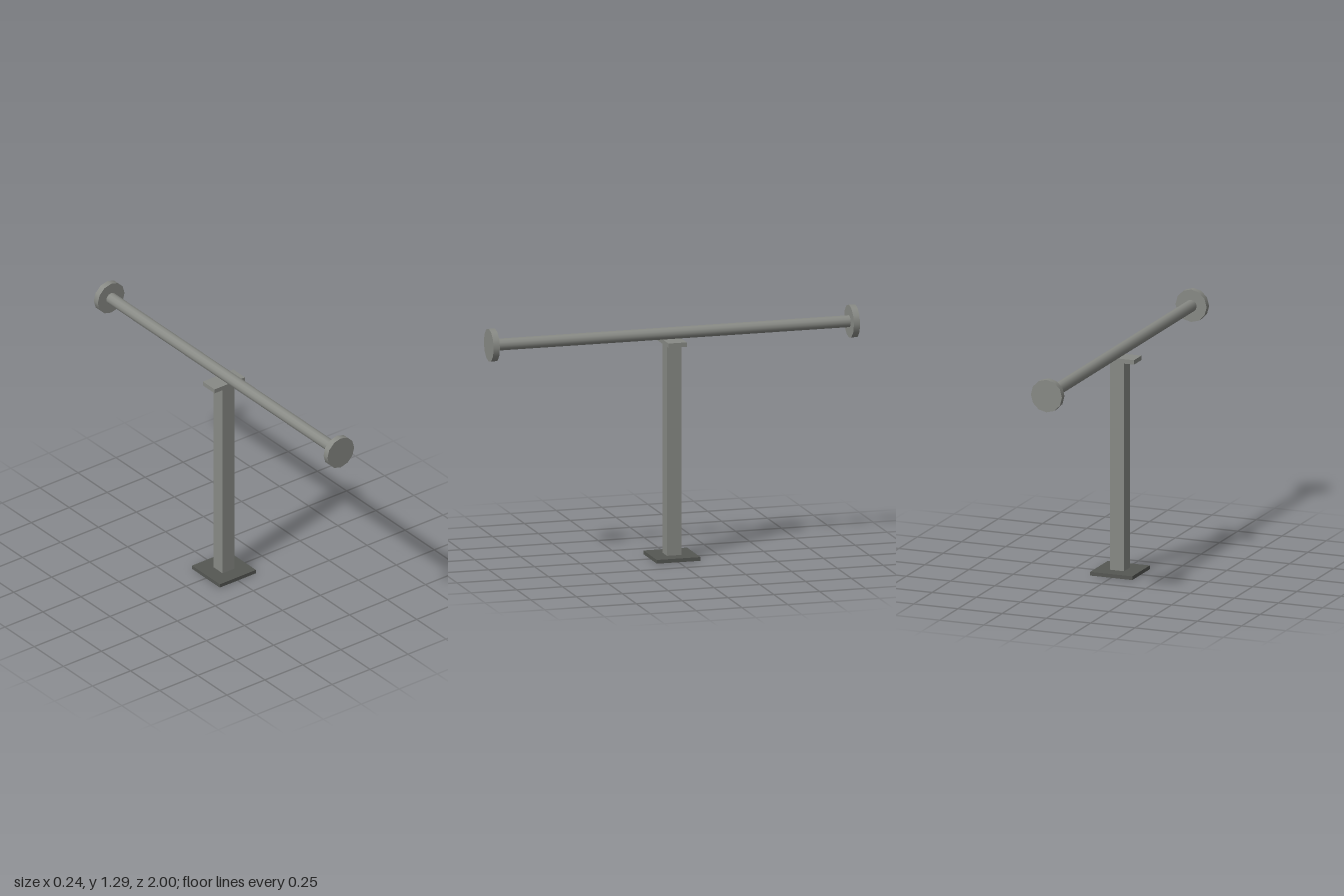
import * as THREE from 'three';

export function createModel() {
  const group = new THREE.Group();
  const steel = new THREE.MeshStandardMaterial({ color: 0x888a85 });
  steel.name = 'steel grey';
  const dark = new THREE.MeshStandardMaterial({ color: 0x555753 });
  dark.name = 'dark grey';

  const add = (name, geometry, material, y, z = 0) => {
    const mesh = new THREE.Mesh(geometry, material);
    mesh.name = name;
    mesh.position.set(0, y, z);
    group.add(mesh);
  };
  // box spanning bottom to top, centred on the post axis
  const box = (name, width, depth, bottom, top, material) =>
    add(name, new THREE.BoxGeometry(width, top - bottom, depth), material, (bottom + top) / 2);
  // smooth rod lying along z
  const rod = (radius, length) =>
    new THREE.CylinderGeometry(radius, radius, length, 12).rotateX(Math.PI / 2);

  // stand
  box('basePlate', 0.238, 0.238, 0, 0.02, dark);
  box('post', 0.08, 0.08, 0.02, 1.145, steel);
  box('supportPlate', 0.2, 0.1, 1.145, 1.169, steel);

  // crossbar with a disc at each end
  const barY = 1.201, discDepth = 0.034;
  add('crossbar', rod(0.032, 2 - 2 * discDepth), steel, barY);
  for (const side of [1, -1]) {
    add(side > 0 ? 'frontEndDisc' : 'backEndDisc', rod(0.088, discDepth), steel,
      barY, side * (1 - discDepth / 2));
  }
  return group;
}
